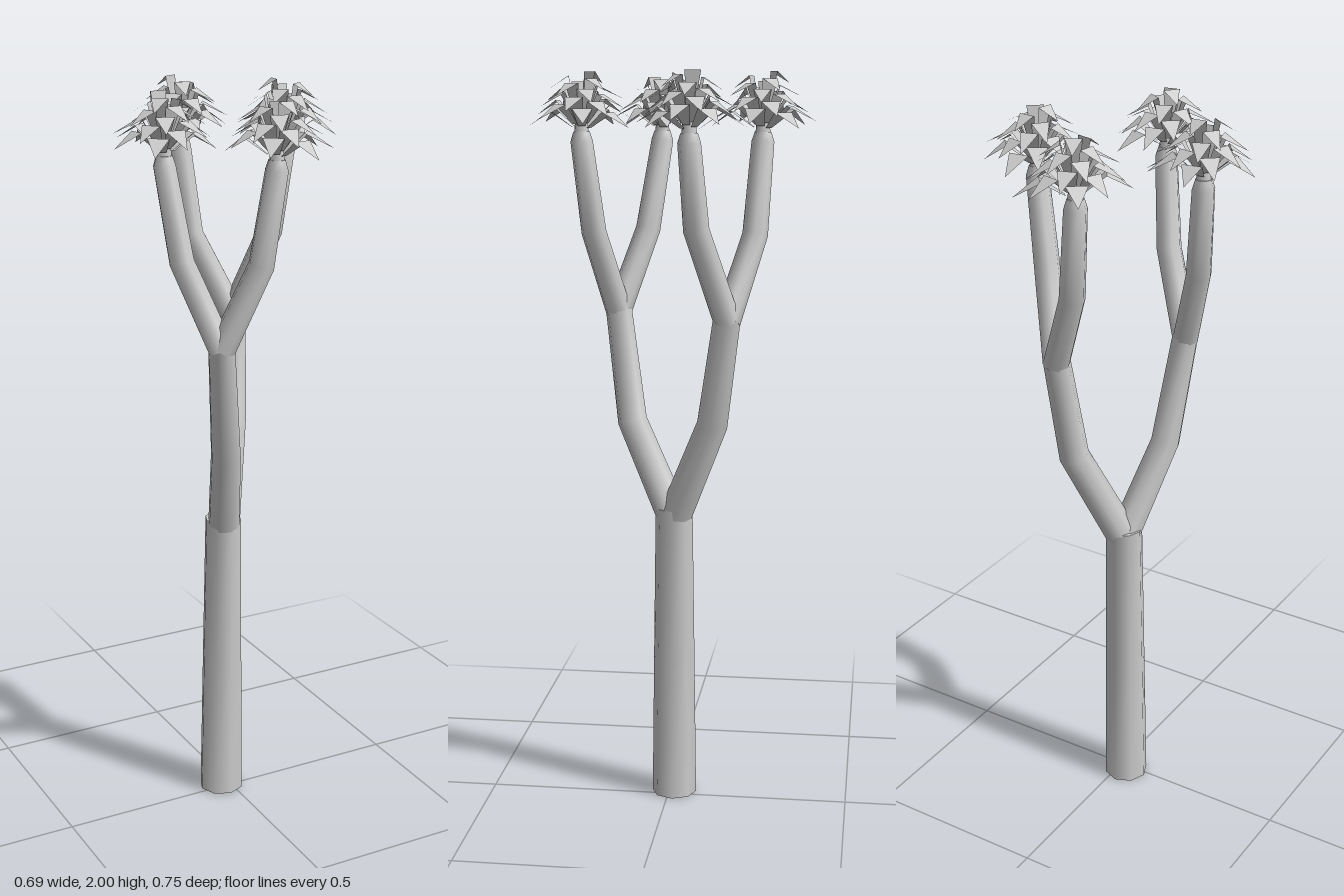
import * as THREE from 'three';
import { toCreasedNormals } from 'three/addons/utils/BufferGeometryUtils.js';

const grey = new THREE.MeshStandardMaterial({ color: 0xcccccc });
const leafGrey = new THREE.MeshStandardMaterial({ color: 0xcccccc, side: THREE.DoubleSide, flatShading: true });
const SIDES = 8;

// Tapered limb through stations [x, y, z, radius], closed at both ends
function limb(name, stations) {
  const pts = stations.map((s) => new THREE.Vector3(s[0], s[1], s[2]));
  const last = pts.length - 1;
  const pos = [], index = [];
  pts.forEach((p, i) => {
    const dir = new THREE.Vector3();
    if (i > 0) dir.add(p.clone().sub(pts[i - 1]).normalize());
    if (i < last) dir.add(pts[i + 1].clone().sub(p).normalize());
    dir.normalize();
    const turn = new THREE.Quaternion().setFromUnitVectors(new THREE.Vector3(0, 1, 0), dir);
    for (let k = 0; k < SIDES; k++) {
      const a = (k / SIDES) * Math.PI * 2;
      const v = new THREE.Vector3(Math.sin(a), 0, Math.cos(a)).multiplyScalar(stations[i][3]);
      v.applyQuaternion(turn).add(p);
      pos.push(v.x, v.y, v.z);
    }
  });
  const bottom = pos.length / 3, top = bottom + 1;
  pos.push(...pts[0].toArray(), ...pts[last].toArray());
  for (let k = 0; k < SIDES; k++) {
    const n = (k + 1) % SIDES;
    for (let i = 0; i < last; i++) {
      const a = i * SIDES + k, b = i * SIDES + n;
      index.push(a, b, b + SIDES, a, b + SIDES, a + SIDES);
    }
    index.push(bottom, n, k, top, last * SIDES + k, last * SIDES + n);
  }
  const geo = new THREE.BufferGeometry();
  geo.setAttribute('position', new THREE.Float32BufferAttribute(pos, 3));
  geo.setIndex(index);
  const mesh = new THREE.Mesh(toCreasedNormals(geo, Math.PI / 3), grey);
  mesh.name = name;
  return mesh;
}

// Folded blade: narrow base, wide fold, pointed drooping tip (each [radius, height])
function leaf(base, fold, tip, halfWidth) {
  const h = halfWidth;
  const geo = new THREE.BufferGeometry();
  geo.setAttribute('position', new THREE.Float32BufferAttribute([
    -h * 0.35, base[1], base[0], h * 0.35, base[1], base[0],
    -h, fold[1], fold[0], h, fold[1], fold[0],
    0, tip[1], tip[0],
  ], 3));
  geo.setIndex([0, 1, 3, 0, 3, 2, 2, 3, 4]);
  geo.computeVertexNormals();
  const mesh = new THREE.Mesh(geo, leafGrey);
  mesh.name = 'leaf';
  return mesh;
}

// Rosette of leaves spiralling from upright at the middle to drooping outside
function rosette(x, z, spin) {
  const group = new THREE.Group();
  group.name = 'leafRosette';
  const count = 24, mix = THREE.MathUtils.lerp;
  for (let i = 0; i < count; i++) {
    const t = i / (count - 1);
    const vary = 1 + 0.07 * Math.sin(i * 5.3);
    const blade = leaf(
      [mix(0.012, 0.024, t), mix(0.05, 0.015, t)],
      [mix(0.03, 0.085, t), mix(0.16, 0.055, Math.pow(t, 0.7))],
      [mix(0.075, 0.145, Math.pow(t, 0.6)) * vary, mix(0.13, 0.015, Math.pow(t, 0.7))],
      mix(0.022, 0.028, t),
    );
    blade.rotation.y = i * 2.39996 + spin;
    group.add(blade);
  }
  const bud = new THREE.Mesh(new THREE.SphereGeometry(0.016, 10, 8), grey);
  bud.name = 'bud';
  bud.position.y = 0.06;
  const core = new THREE.Mesh(new THREE.CylinderGeometry(0.014, 0.02, 0.06, 8), grey);
  core.name = 'rosetteCore';
  core.position.y = 0.03;
  group.add(bud, core);
  group.position.set(x, 1.84, z);
  return group;
}

export function createModel() {
  const tree = new THREE.Group();
  tree.name = 'branchingTree';

  // Trunk
  tree.add(limb('trunk', [
    [-0.025, 0, -0.015, 0.062],
    [-0.021, 0.4, -0.015, 0.057],
    [-0.017, 0.83, -0.015, 0.051],
  ]));

  // Two main boughs, each forking into two
  const boughs = [
    { bend: [-0.073, 1.06, 0.108], fork: [-0.107, 1.37, 0.15],
      arms: [{ bend: [-0.182, 1.58, 0.078], tip: [-0.21, 0.042] },
        { bend: [-0.022, 1.58, 0.202], tip: [0.005, 0.228] }] },
    { bend: [0.07, 1.08, -0.128], fork: [0.094, 1.37, -0.168],
      arms: [{ bend: [0.0, 1.58, -0.232], tip: [-0.024, -0.248] },
        { bend: [0.168, 1.6, -0.095], tip: [0.2, -0.08] }] },
  ];
  boughs.forEach((b, i) => {
    tree.add(limb('bough', [[-0.015, 0.8, -0.015, 0.045], [...b.bend, 0.041], [...b.fork, 0.036]]));
    b.arms.forEach((arm, j) => {
      const [x, z] = arm.tip;
      tree.add(limb('upperBranch', [
        [b.fork[0], 1.36, b.fork[2], 0.036],
        [...arm.bend, 0.034],
        [x, 1.82, z, 0.03],
        [x, 1.845, z, 0.022],
      ]));
      tree.add(rosette(x, z, Math.PI + i * 0.5 + j * 0.9));
    });
  });
  return tree;
}
